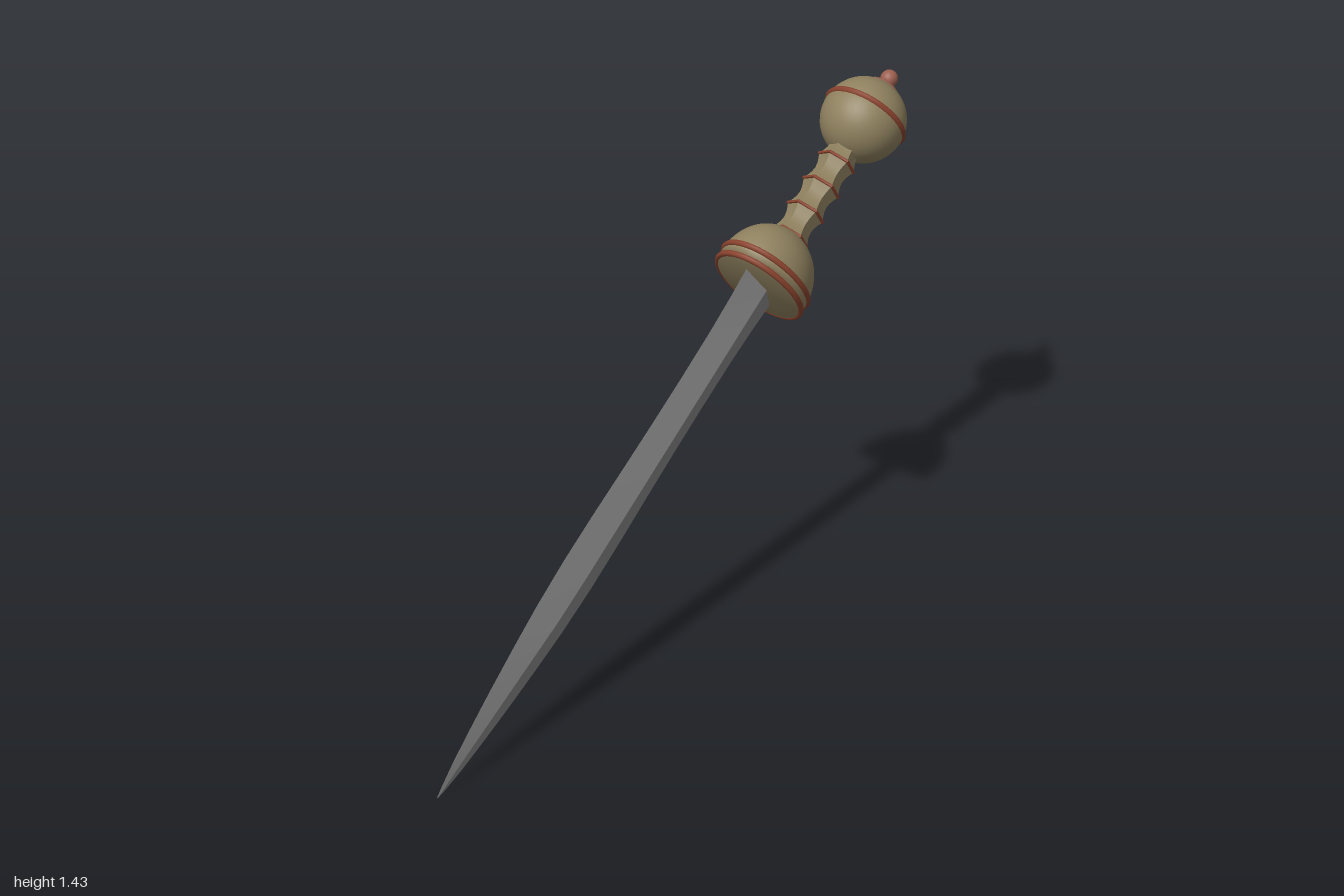
import * as THREE from 'three';
import { toCreasedNormals } from 'three/addons/utils/BufferGeometryUtils.js';

const steel = new THREE.MeshStandardMaterial({ color: 0x8a8a8a });
steel.name = 'steel';
const tan = new THREE.MeshStandardMaterial({ color: 0x8f815f });
tan.name = 'tan wood';
const red = new THREE.MeshStandardMaterial({ color: 0x8a432e });
red.name = 'red trim';
const copper = new THREE.MeshStandardMaterial({ color: 0x9c5f50 });
copper.name = 'copper';

const GUARD_X = 0.85; // the guard is oval, narrower across x

// The sword is built upright, tip at the origin, then tilted.
export function createModel() {
  const sword = new THREE.Group();
  sword.name = 'sword';

  const add = (name, geometry, material, y = 0, sx = 1) => {
    const mesh = new THREE.Mesh(geometry, material);
    mesh.name = name;
    mesh.position.y = y;
    mesh.scale.x = sx;
    sword.add(mesh);
    return mesh;
  };
  const lathe = (points, sides) =>
    new THREE.LatheGeometry(points.map(([r, y]) => new THREE.Vector2(r, y)), sides);
  const ring = (radius, tube, sides) =>
    new THREE.TorusGeometry(radius, tube, 8, sides).rotateX(Math.PI / 2);

  add('blade', bladeGeometry(), steel);

  // Domed guard with a flat front and two bands
  const dome = [[0, 1.668], [0.152, 1.668], [0.157, 1.7]];
  for (let i = 1; i <= 16; i++) {
    const a = (i / 16) * Math.PI / 2;
    dome.push([Math.max(0, 0.157 * Math.cos(a)), 1.7 + 0.155 * Math.sin(a)]);
  }
  add('guard', lathe(dome, 48), tan, 0, GUARD_X);
  add('guardBandFront', ring(0.154, 0.009, 48), red, 1.675, GUARD_X);
  add('guardBandRear', ring(0.156, 0.009, 48), red, 1.71, GUARD_X);

  // Six-sided grip with scalloped sections between thin rings
  const first = 1.845, step = 0.089;
  const scallops = [];
  for (let i = -4; i <= 24; i++) {
    const t = i / 6;
    scallops.push([0.057 - 0.013 * Math.abs(Math.sin(Math.PI * t)), first + step * t]);
  }
  add('grip', toCreasedNormals(lathe(scallops, 6), 0.5), tan);
  for (let k = 0; k < 4; k++) {
    const hex = toCreasedNormals(ring(0.056, 0.005, 6).rotateY(Math.PI / 6), 0.9);
    add('gripRing', hex, red, first + step * k);
  }

  // Ball pommel with its band and end button
  add('pommel', new THREE.SphereGeometry(0.125, 40, 28), tan, 2.268);
  add('pommelBand', ring(0.121, 0.01, 48), red, 2.28);
  add('buttonBase', lathe([[0.046, 2.375], [0.046, 2.389], [0.03, 2.397], [0.014, 2.401], [0.014, 2.412]], 24), copper);
  add('button', new THREE.SphereGeometry(0.026, 20, 14), copper, 2.42);

  sword.rotation.x = -THREE.MathUtils.degToRad(54.8);
  sword.position.z = 1;
  const model = new THREE.Group();
  model.name = 'shortSword';
  model.add(sword);
  return model;
}

// Leaf-shaped blade: diamond sections lofted from tip to guard
function bladeGeometry() {
  // distance from tip, half width
  const outline = [
    [0, 0.002], [0.03, 0.011], [0.1, 0.027], [0.2, 0.043], [0.3, 0.057], [0.44, 0.073],
    [0.56, 0.084], [0.7, 0.09], [0.85, 0.089], [1.0, 0.085], [1.15, 0.082], [1.3, 0.081],
    [1.46, 0.083], [1.58, 0.089], [1.69, 0.098],
  ];
  const positions = [], index = [];
  outline.forEach(([y, w], i) => {
    const t = 0.03 * Math.min(1, y / 0.6) + 0.0005;
    positions.push(t, y, 0, 0, y, -w, -t, y, 0, 0, y, w);
    if (i === 0) return;
    for (let j = 0; j < 4; j++) {
      const a = (i - 1) * 4 + j, b = (i - 1) * 4 + (j + 1) % 4;
      index.push(a, b, b + 4, a, b + 4, a + 4);
    }
  });
  index.push(0, 2, 1, 0, 3, 2);
  const geometry = new THREE.BufferGeometry();
  geometry.setAttribute('position', new THREE.Float32BufferAttribute(positions, 3));
  geometry.setIndex(index);
  return toCreasedNormals(geometry, 0.2);
}
